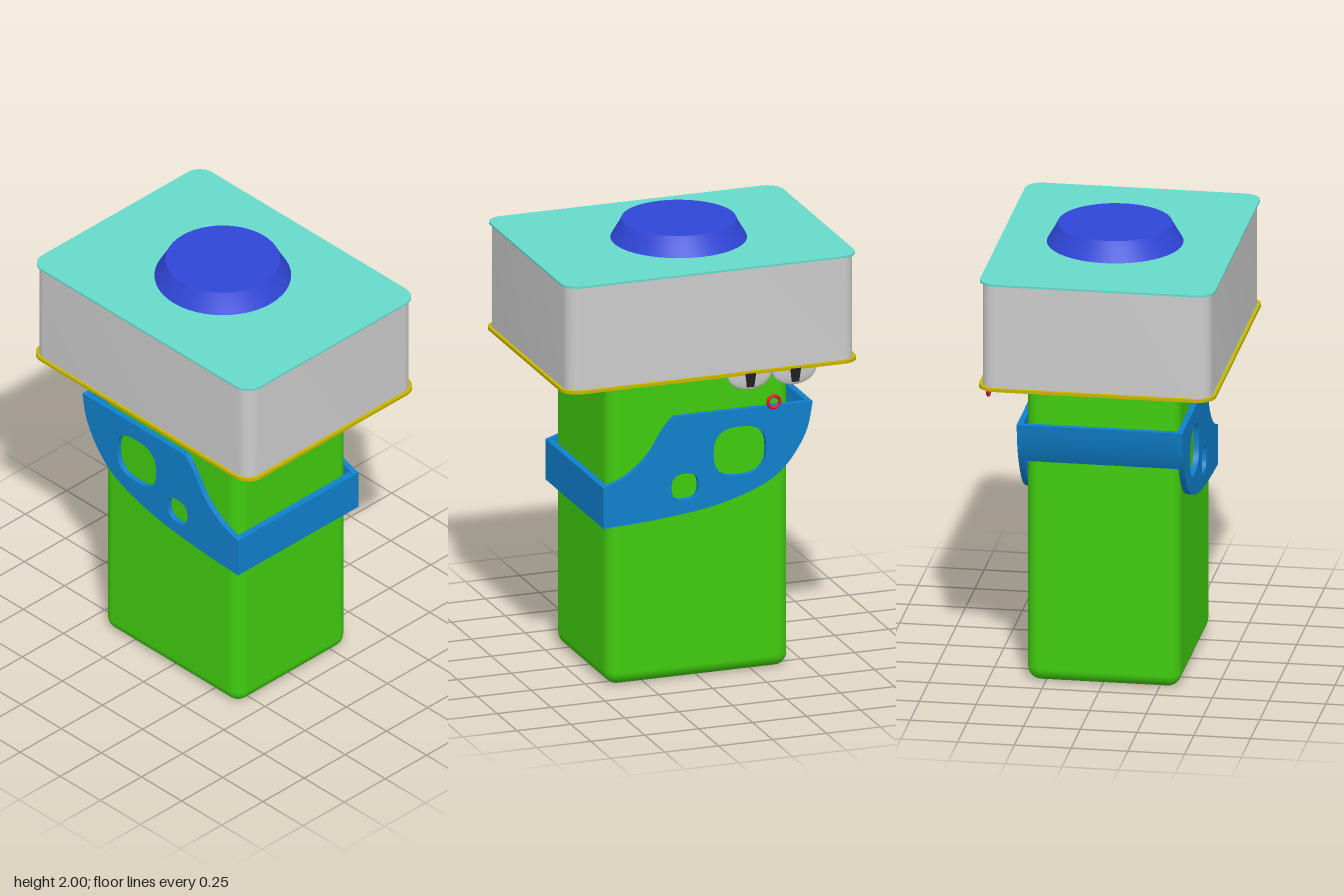
import * as THREE from 'three';
import { toCreasedNormals } from 'three/addons/utils/BufferGeometryUtils.js';
import { RoundedBoxGeometry } from 'three/addons/geometries/RoundedBoxGeometry.js';

const mat = (color) => new THREE.MeshStandardMaterial({ color });
const GREY = mat(0xcccccc), GREEN = mat(0x40cc0e), BLUE = mat(0x0f80cc), NAVY = mat(0x3046d8);
const TEAL = mat(0x66dacb), YELLOW = mat(0xc8b400), RED = mat(0xd02030), BLACK = mat(0x202020);

function add(parent, name, geometry, material, x = 0, y = 0, z = 0) {
  const mesh = new THREE.Mesh(geometry, material);
  mesh.name = name;
  mesh.position.set(x, y, z);
  parent.add(mesh);
  return mesh;
}

// Rectangle with rounded corners, centred on the origin
function roundedRect(w, d, r, Type = THREE.Shape) {
  const s = new Type(), x = w / 2, y = d / 2;
  [[x - r, y - r, 0], [r - x, y - r, 1], [r - x, r - y, 2], [x - r, r - y, 3]].forEach(([cx, cy, q]) =>
    s.absarc(cx, cy, r, q * Math.PI / 2, (q + 1) * Math.PI / 2, false));
  s.closePath();
  return s;
}

// Extrude an outline drawn in x and z upwards from y = 0
function slab(shape, height) {
  const g = new THREE.ExtrudeGeometry(shape, { depth: height, bevelEnabled: false, curveSegments: 5 });
  g.rotateX(-Math.PI / 2);
  return toCreasedNormals(g, 0.6);
}

// Extrude an outline drawn in z and y along x, between x0 and x1
function sidePiece(shape, x0, x1) {
  const g = new THREE.ExtrudeGeometry(shape, { depth: x1 - x0, bevelEnabled: false, curveSegments: 12 });
  g.rotateY(-Math.PI / 2);
  g.translate(x1, 0, 0);
  return toCreasedNormals(g, 0.6);
}

// Softly squared hole
function squircle(cz, cy, rz, ry) {
  const pts = [];
  for (let i = 0; i < 32; i++) {
    const a = i / 32 * Math.PI * 2, c = Math.cos(a), s = Math.sin(a);
    pts.push(new THREE.Vector2(
      cz + rz * Math.sign(c) * Math.abs(c) ** 0.75,
      cy + ry * Math.sign(s) * Math.abs(s) ** 0.75));
  }
  return new THREE.Path(pts);
}

function buildHarness() {
  const harness = new THREE.Group();
  harness.name = 'harness';
  const v = (x, y) => new THREE.Vector2(x, y);

  // Swept side panel with two holes
  const panel = new THREE.Shape();
  panel.moveTo(0.455, 0.74);
  panel.lineTo(0.455, 0.925);
  panel.splineThru([v(0.35, 0.965), v(0.25, 1.045), v(0.17, 1.165), v(0.125, 1.215)]);
  panel.lineTo(-0.515, 1.215);
  panel.splineThru([v(-0.485, 1.08), v(-0.40, 0.945), v(-0.285, 0.86),
    v(-0.07, 0.79), v(0.195, 0.755), v(0.455, 0.74)]);
  panel.holes.push(squircle(-0.178, 1.025, 0.122, 0.112), squircle(0.077, 0.89, 0.062, 0.06));
  add(harness, 'leftPanel', sidePiece(panel, 0.335, 0.36), BLUE);
  add(harness, 'rightPanel', sidePiece(panel, -0.37, -0.345), BLUE);

  // Straight band across the front
  add(harness, 'frontBand', new THREE.BoxGeometry(0.73, 0.185, 0.03), BLUE, -0.005, 0.8325, 0.44);

  // Curved band across the back
  const band = new THREE.Shape();
  band.moveTo(-0.515, 1.215);
  band.quadraticCurveTo(-0.50, 1.11, -0.455, 1.03);
  band.lineTo(-0.43, 1.04);
  band.quadraticCurveTo(-0.475, 1.12, -0.488, 1.215);
  band.closePath();
  add(harness, 'backBand', sidePiece(band, -0.37, 0.36), BLUE);
  return harness;
}

function buildFace() {
  const face = new THREE.Group();
  face.name = 'face';
  // Half-hidden flattened eyes on the model's left side
  for (const z of [-0.173, -0.381]) {
    const eye = new THREE.SphereGeometry(1, 24, 12, 0, Math.PI * 2, Math.PI / 2, Math.PI / 2);
    eye.scale(0.015, 0.078, 0.104);
    add(face, 'eye', eye, GREY, 0.493, 1.427, z);
    const pupil = new THREE.Shape([[-0.025, 1.427], [-0.016, 1.365], [0.016, 1.365], [0.025, 1.427]]
      .map(([a, b]) => new THREE.Vector2(a, b)));
    add(face, 'pupil', sidePiece(pupil, 0.495, 0.51), BLACK, 0, 0, z);
  }
  // Small ring mouth
  const mouth = add(face, 'mouth', new THREE.TorusGeometry(0.027, 0.008, 10, 28), RED, 0.522, 1.29, -0.275);
  mouth.rotation.y = Math.PI / 2;
  return face;
}

function buildHead() {
  const head = new THREE.Group();
  head.name = 'head';
  const cx = -0.012;
  add(head, 'headBox', slab(roundedRect(1.01, 1.335, 0.06), 0.475), GREY, cx, 1.432, 0);
  add(head, 'topPlate', slab(roundedRect(1.035, 1.36, 0.075), 0.009), TEAL, cx, 1.905, 0);
  add(head, 'bottomPlate', slab(roundedRect(1.02, 1.345, 0.07), 0.006), TEAL, cx, 1.427, 0);
  // Thin trim around the lower edge
  const trim = roundedRect(1.043, 1.37, 0.08);
  trim.holes.push(roundedRect(1.015, 1.34, 0.066, THREE.Path));
  add(head, 'trim', slab(trim, 0.014), YELLOW, cx, 1.421, 0);
  // Round cap with sloping side
  const side = [[0.30, 1.91], [0.262, 1.975], [0.25, 2.0], [0, 2.0]].map(([r, y]) => new THREE.Vector2(r, y));
  add(head, 'cap', toCreasedNormals(new THREE.LatheGeometry(side, 48), 0.6), NAVY, 0.005, 0, -0.025);
  return head;
}

export function createModel() {
  const model = new THREE.Group();
  model.name = 'model';
  add(model, 'body', new RoundedBoxGeometry(0.675, 1.44, 0.845, 4, 0.06), GREEN, -0.004, 0.72, 0.002);
  model.add(buildHarness(), buildHead(), buildFace());
  return model;
}
